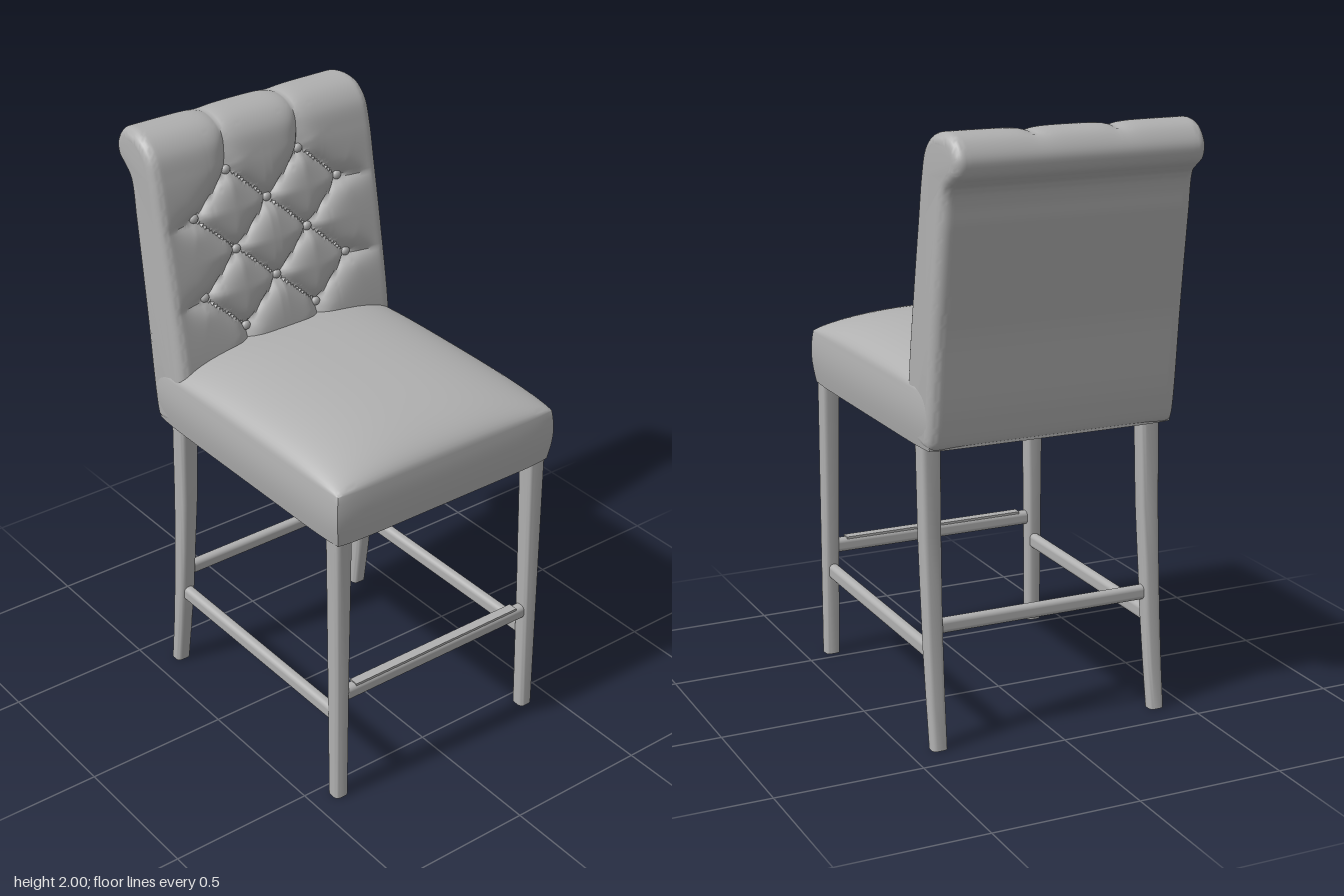
import * as THREE from 'three';
import { toCreasedNormals } from 'three/addons/utils/BufferGeometryUtils.js';
import { RoundedBoxGeometry } from 'three/addons/geometries/RoundedBoxGeometry.js';

const V3 = (x, y, z) => new THREE.Vector3(x, y, z);

// Skin a list of closed rings and cap both ends; `flat` projects a ring point to 2D
function loft(rings, flat) {
  const n = rings[0].length, pos = [], idx = [];
  rings.forEach(r => r.forEach(p => pos.push(p.x, p.y, p.z)));
  for (let k = 0; k < rings.length - 1; k++) {
    for (let j = 0; j < n; j++) {
      const j2 = (j + 1) % n, a = k * n + j, b = a + n, c = (k + 1) * n + j2, d = k * n + j2;
      idx.push(a, b, c, a, c, d);
    }
  }
  const last = rings.length - 1;
  const axis = rings[last][0].clone().sub(rings[0][0]);
  for (const k of [0, last]) {
    const ring = rings[k], out = axis.clone().multiplyScalar(k ? 1 : -1);
    for (const [a, b, c] of THREE.ShapeUtils.triangulateShape(ring.map(flat), [])) {
      const nrm = ring[b].clone().sub(ring[a]).cross(ring[c].clone().sub(ring[a]));
      if (nrm.dot(out) > 0) idx.push(k * n + a, k * n + b, k * n + c);
      else idx.push(k * n + a, k * n + c, k * n + b);
    }
  }
  const g = new THREE.BufferGeometry();
  g.setAttribute('position', new THREE.Float32BufferAttribute(pos, 3));
  g.setIndex(idx);
  return toCreasedNormals(g, 0.8);
}

// Horizontal rounded rectangle used as a leg section
function legRing(x, y, z, hx, hz, r = 0.016) {
  const pts = [];
  for (let q = 0; q < 4; q++) {
    const sx = q === 0 || q === 3 ? 1 : -1, sz = q < 2 ? 1 : -1;
    for (let i = 0; i <= 4; i++) {
      const a = (q + i / 4) * Math.PI / 2;
      pts.push(V3(x + sx * (hx - r) + r * Math.cos(a), y, z + sz * (hz - r) + r * Math.sin(a)));
    }
  }
  return pts;
}

// Tuft buttons in a diamond lattice, and the creases joining them
const DX = 0.144, buttons = [], creases = [];
[1.84, 1.707, 1.574, 1.441, 1.308].forEach((y, row) => {
  for (const c of row % 2 ? [-2, 0, 2] : [-1, 1]) buttons.push({ x: c * DX, y, row });
});
for (const a of buttons) {
  for (const b of buttons) {
    if (b.row === a.row + 1 && Math.abs(a.x - b.x) < DX * 1.1) creases.push([a.x, a.y, b.x, b.y]);
  }
  if (a.row === 0) creases.push([a.x, a.y, a.x, 2.12]);
  if (a.row === 4) creases.push([a.x, a.y, a.x, 1.1]);
  if (Math.abs(a.x) > DX * 1.5) creases.push([a.x, a.y, Math.sign(a.x) * 0.42, a.y - 0.01]);
}
function tuftDepth(x, v) {
  if (v > 2.3) return 0;
  let d = 1, db = 1;
  for (const [x1, y1, x2, y2] of creases) {
    const ex = x2 - x1, ey = y2 - y1;
    const t = THREE.MathUtils.clamp(((x - x1) * ex + (v - y1) * ey) / (ex * ex + ey * ey), 0, 1);
    d = Math.min(d, Math.hypot(x - x1 - t * ex, v - y1 - t * ey));
  }
  for (const b of buttons) db = Math.min(db, Math.hypot(x - b.x, v - b.y));
  const fade = THREE.MathUtils.smoothstep(0.43 - Math.abs(x), 0, 0.13);
  const top = 1 - 0.65 * THREE.MathUtils.smoothstep(v, 1.86, 2.0);
  return fade * top * (0.036 * Math.exp(-d / 0.026) + 0.014 * Math.exp(-((db / 0.03) ** 2)));
}

// Backrest side profile as (z, y): up the front, over the roll, down the rear
const profile = new THREE.CatmullRomCurve3([
  [-0.235, 1.01], [-0.24, 1.2], [-0.287, 1.5], [-0.328, 1.72], [-0.355, 1.86], [-0.382, 1.94],
  [-0.43, 1.985], [-0.5, 2.0], [-0.565, 1.982], [-0.602, 1.928], [-0.592, 1.878], [-0.558, 1.852],
  [-0.525, 1.825], [-0.503, 1.7], [-0.46, 1.4], [-0.412, 1.02], [-0.4, 1.002], [-0.3, 1.002]
].map(([z, y]) => V3(0, y, z)), true, 'centripetal');
profile.arcLengthDivisions = 1000;
const N = 220, samples = [];
for (let j = 0; j < N; j++) {
  const t = profile.getTangentAt(j / N);
  samples.push({ p: profile.getPointAt(j / N), n: V3(0, -t.z, t.y), v: 1.01 + 0.987 * profile.getLength() * j / N });
}

function backrestGeometry() {
  const half = 0.437, R = 0.035, xs = [];
  for (let i = 0; i < 6; i++) xs.push(half - R * (1 - Math.cos(i * Math.PI / 12)));
  for (let i = 0; i <= 84; i++) xs.push((half - R) * (1 - i / 42));
  for (let i = 5; i >= 0; i--) xs.push(-xs[i]);
  xs.reverse();
  return loft(xs.map(x => {
    const e = Math.max(0, Math.abs(x) - (half - R));
    const inset = R - Math.sqrt(Math.max(0, R * R - e * e));
    return samples.map(({ p, n, v }) => {
      const q = p.clone().addScaledVector(n, -inset - tuftDepth(x, v));
      q.x = x * (1 - 0.03 * THREE.MathUtils.smoothstep(-p.z, 0.42, 0.6));
      return q;
    });
  }), p => new THREE.Vector2(p.z, p.y));
}

// Seat: a box with a crowned top and slightly bulging sides
function seatGeometry() {
  const g = new THREE.BoxGeometry(2, 1, 2, 40, 8, 40), a = g.attributes.position;
  for (let i = 0; i < a.count; i++) {
    // crowd the grid towards the rim so the steep edge stays smooth
    const u = Math.sin(a.getX(i) * Math.PI / 2), w = Math.sin(a.getZ(i) * Math.PI / 2), t = a.getY(i) + 0.5;
    const crown = Math.sqrt(Math.max(0, (1 - Math.abs(u) ** 2.5) * (1 - Math.abs(w) ** 3)));
    const bulge = 0.012 * Math.sin(Math.PI * Math.min(1, t * 0.85));
    const corner = 1 - 0.02 * (u * w) ** 8;
    const front = w > 0 ? 0.503 + bulge : 0.497;
    a.setXYZ(i, u * (0.434 + bulge) * corner, 1 + t * (0.18 + 0.11 * crown), 0.09 + w * front * corner);
  }
  return toCreasedNormals(g, 0.9);
}

export function createModel() {
  const model = new THREE.Group();
  model.name = 'tuftedBarChair';
  const grey = new THREE.MeshStandardMaterial({ color: 0xb0b0b0 });
  grey.name = 'plainGrey';
  const add = (name, geo, x = 0, y = 0, z = 0) => {
    const m = new THREE.Mesh(geo, grey);
    m.name = name;
    m.position.set(x, y, z);
    model.add(m);
    return m;
  };

  add('seat', seatGeometry());
  add('backrest', backrestGeometry());

  // Buttons sunk into the tufting
  const buttonGeo = new THREE.SphereGeometry(0.016, 14, 10);
  for (const b of buttons) {
    const s = samples.reduce((m, c) => Math.abs(c.v - b.y) < Math.abs(m.v - b.y) ? c : m);
    const p = s.p.clone().addScaledVector(s.n, -0.038);
    add('button', buttonGeo, b.x, p.y, p.z).scale.z = 0.75;
  }

  // Legs: tapered in front, swept back at the rear; rows are y, x, z, half width, half depth
  const frontLeg = [[0, 0.402, 0.554, 0.026, 0.026], [0.5, 0.399, 0.55, 0.028, 0.03], [1.03, 0.394, 0.545, 0.032, 0.034]];
  const backLeg = [[0, 0.398, -0.383, 0.027, 0.024], [0.15, 0.397, -0.363, 0.028, 0.026],
    [0.33, 0.396, -0.343, 0.029, 0.029], [0.5, 0.395, -0.329, 0.03, 0.031],
    [0.7, 0.393, -0.315, 0.032, 0.033], [1.03, 0.391, -0.304, 0.034, 0.035]];
  // Side stretchers sit lower than the front and rear ones
  for (const side of [1, -1]) {
    const leg = rows => loft(rows.map(([y, x, z, hx, hz]) => legRing(side * x, y, z, hx, hz)),
      p => new THREE.Vector2(p.x, p.z));
    add('frontLeg', leg(frontLeg));
    add('backLeg', leg(backLeg));
    add('sideStretcher', new RoundedBoxGeometry(0.036, 0.054, 0.87, 4, 0.016), side * 0.397, 0.313, 0.103);
  }
  add('frontStretcher', new RoundedBoxGeometry(0.77, 0.05, 0.04, 4, 0.016), 0, 0.4, 0.552);
  add('rearStretcher', new RoundedBoxGeometry(0.77, 0.05, 0.036, 4, 0.016), 0, 0.4, -0.337);
  add('footPlate', new THREE.BoxGeometry(0.68, 0.008, 0.034), 0, 0.425, 0.552);
  return model;
}
